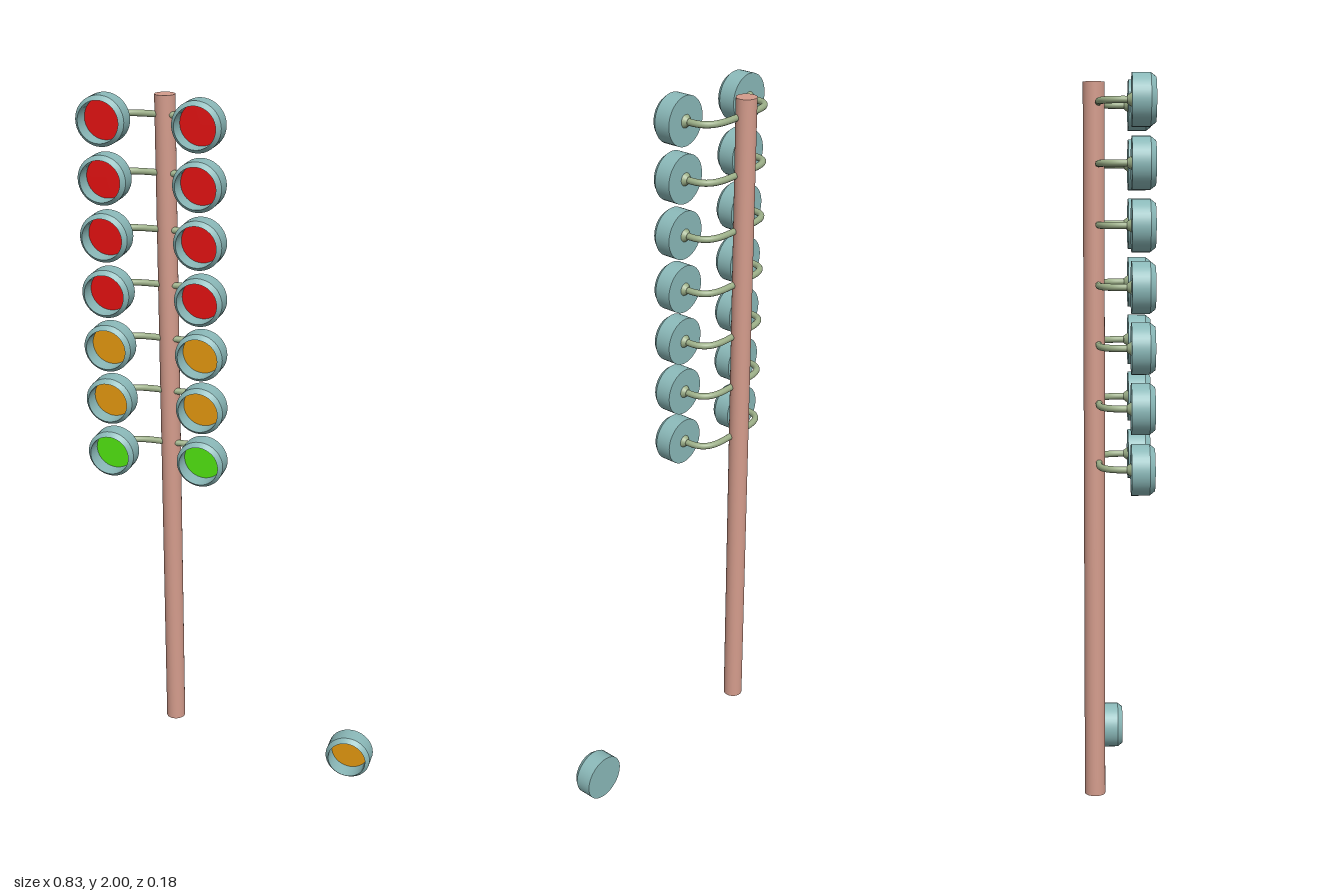
import * as THREE from 'three';

const paint = (color, side = THREE.FrontSide) => new THREE.MeshStandardMaterial({ color, side });
const housingMat = paint(0x8ab8b8);
const armMat = paint(0x9caf88);
const poleMat = paint(0xd49c8c);
const red = paint(0xe01010), amber = paint(0xe0960f), green = paint(0x4fe010);

const POLE_X = -0.217, POLE_Z = -0.065, REACH = 0.131, BACK_Z = 0.028;

// Lathe with crisp edges: each profile segment gets its own smooth band
function crispLathe(points, material, name) {
  const group = new THREE.Group();
  group.name = name;
  for (let i = 0; i < points.length - 1; i++) {
    const pair = [points[i], points[i + 1]].map(([r, y]) => new THREE.Vector2(r, y));
    const band = new THREE.Mesh(new THREE.LatheGeometry(pair, 40).rotateX(Math.PI / 2), material);
    band.name = name + 'Band';
    group.add(band);
  }
  return group;
}

// Hollow cup opening towards +z, with a lens recessed near its closed back
function makeLamp(lensMat) {
  const lamp = new THREE.Group();
  lamp.name = 'lamp';
  lamp.add(crispLathe([
    [0, 0], [0.067, 0], [0.067, 0.047], [0.056, 0.061],
    [0.056, 0.009], [0, 0.009],
  ], housingMat, 'lampHousing'));
  const lens = new THREE.Mesh(new THREE.CircleGeometry(0.056, 40), lensMat);
  lens.name = 'lens';
  lens.position.z = 0.011;
  lamp.add(lens);
  return lamp;
}

// Bent tube joining the two lamps of a row through the pole
function makeArm() {
  const arm = new THREE.Group();
  arm.name = 'arm';
  const v = (x, z) => new THREE.Vector3(x, 0, z);
  const path = new THREE.CurvePath();
  path.add(new THREE.LineCurve3(v(-REACH, BACK_Z), v(-REACH, 0.008)));
  path.add(new THREE.CubicBezierCurve3(v(-REACH, 0.008), v(-REACH, -0.034), v(-0.105, -0.053), v(-0.05, -0.053)));
  path.add(new THREE.LineCurve3(v(-0.05, -0.053), v(0.05, -0.053)));
  path.add(new THREE.CubicBezierCurve3(v(0.05, -0.053), v(0.105, -0.053), v(REACH, -0.034), v(REACH, 0.008)));
  path.add(new THREE.LineCurve3(v(REACH, 0.008), v(REACH, BACK_Z)));
  const tube = new THREE.Mesh(new THREE.TubeGeometry(path, 64, 0.009, 14), armMat);
  tube.name = 'armTube';
  arm.add(tube);
  // Flared collars against the lamp backs
  for (const side of [-1, 1]) {
    const collar = new THREE.Mesh(
      new THREE.CylinderGeometry(0.018, 0.01, 0.011, 20).rotateX(Math.PI / 2), armMat);
    collar.name = 'armCollar';
    collar.position.set(side * REACH, 0, BACK_Z - 0.0055);
    arm.add(collar);
  }
  return arm;
}

export function createModel() {
  const model = new THREE.Group();
  model.name = 'startingLights';

  // Upright pole
  const pole = new THREE.Mesh(new THREE.CylinderGeometry(0.028, 0.028, 1.915, 32), poleMat);
  pole.name = 'pole';
  pole.position.set(POLE_X, 0.07 + 1.915 / 2, POLE_Z);
  model.add(pole);

  // Seven rows of paired lamps, top to bottom
  const rows = [red, red, red, red, amber, amber, green];
  rows.forEach((lensMat, i) => {
    const row = new THREE.Group();
    row.name = 'lampRow';
    row.position.set(POLE_X, i === 6 ? 0.996 : 1.933 - i * 0.1556, 0);
    row.add(makeArm());
    for (const side of [-1, 1]) {
      const lamp = makeLamp(lensMat);
      lamp.position.set(side * REACH, 0, BACK_Z);
      row.add(lamp);
    }
    model.add(row);
  });

  // Separate lamp at ground level
  const loose = makeLamp(amber);
  loose.name = 'separateLamp';
  loose.position.set(0.347, 0.069, -0.034);
  model.add(loose);

  return model;
}
